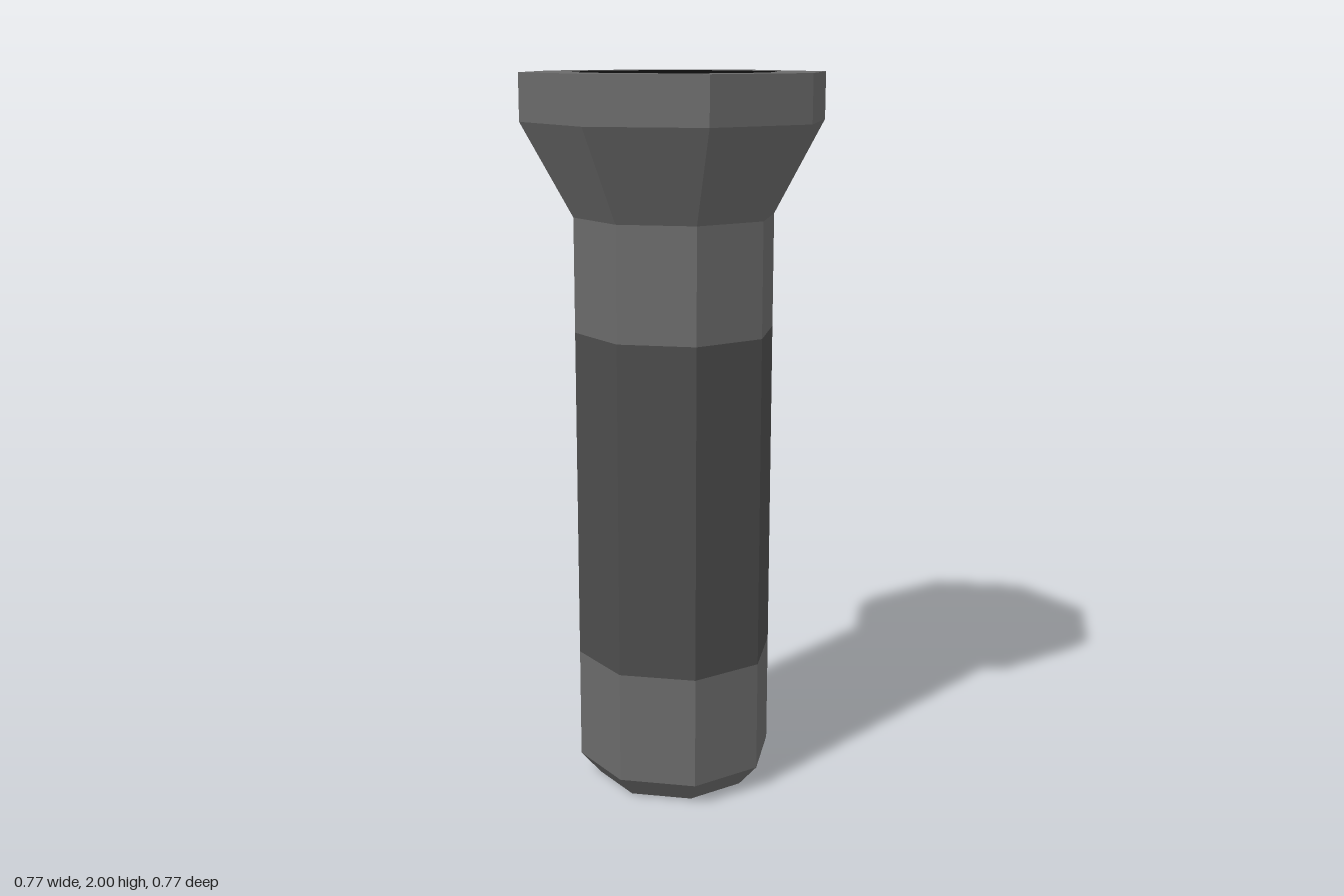
import * as THREE from 'three';

const SIDES = 8;
const TURN = Math.PI / SIDES; // puts a flat face to the front
const corner = (halfWidth) => halfWidth / Math.cos(TURN);

const material = (color) => new THREE.MeshStandardMaterial({ color, flatShading: true });

export function createModel() {
  const group = new THREE.Group();
  const grey = material(0x6a6a6a);
  const darkGrey = material(0x4c4c4c);
  const black = material(0x0c0c0c);

  const add = (name, geometry, mat, y) => {
    const mesh = new THREE.Mesh(geometry, mat);
    mesh.name = name;
    mesh.position.y = y;
    group.add(mesh);
  };

  // Stacked octagonal sections: name, bottom y, top y, bottom and top half widths
  const sections = [
    ['bottomChamfer', 0, 0.065, 0.205, 0.257, grey],
    ['lowerBand', 0.065, 0.38, 0.257, 0.257, grey],
    ['grip', 0.38, 1.307, 0.257, 0.257, darkGrey],
    ['upperBand', 1.307, 1.62, 0.257, 0.257, grey],
    ['headFlare', 1.62, 1.873, 0.257, 0.386, grey],
    ['headCollar', 1.873, 2, 0.386, 0.386, grey],
  ];
  for (const [name, y0, y1, w0, w1, mat] of sections) {
    const geometry = new THREE.CylinderGeometry(corner(w1), corner(w0), y1 - y0, SIDES, 1, true, TURN);
    add(name, geometry, mat, (y0 + y1) / 2);
  }

  // Flat end faces: rim and lens on top, closed base underneath
  const rim = new THREE.RingGeometry(corner(0.264), corner(0.386), SIDES, 1, TURN).rotateX(-Math.PI / 2);
  add('headRim', rim, grey, 2);
  const lens = new THREE.CircleGeometry(corner(0.264), SIDES, TURN).rotateX(-Math.PI / 2);
  add('lens', lens, black, 2);
  const base = new THREE.CircleGeometry(corner(0.205), SIDES, TURN).rotateX(Math.PI / 2);
  add('base', base, grey, 0);

  return group;
}
